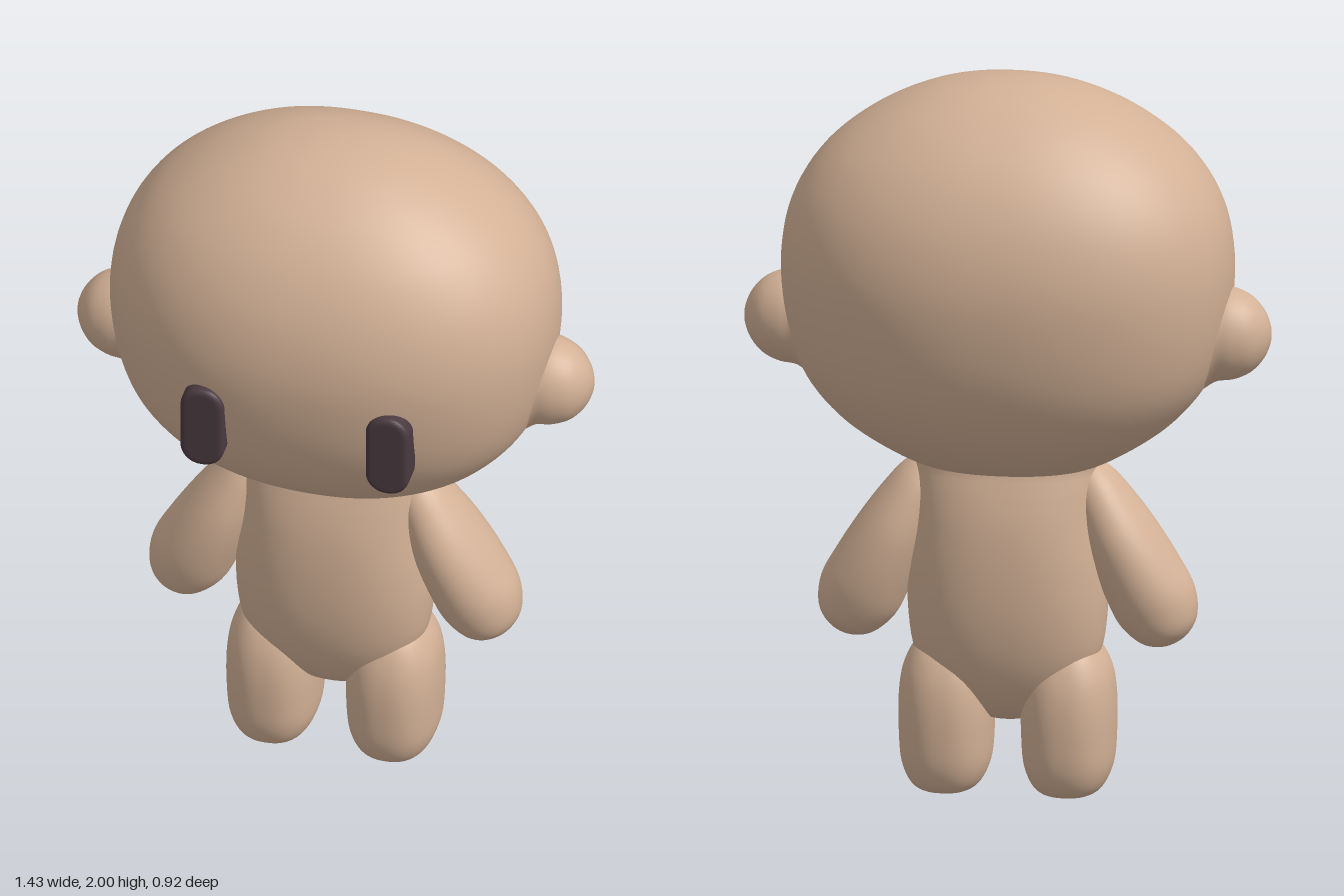
import * as THREE from 'three';
import { mergeVertices } from 'three/addons/utils/BufferGeometryUtils.js';

// Smooth loft through [y, radiusX, radiusZ] sections, bottom to top; n squares off the outline.
function loft(sections, n = 2, rings = 48, sides = 64) {
  const curve = new THREE.CatmullRomCurve3(sections.map(([y, rx, rz]) => new THREE.Vector3(rx, y, rz)));
  const round = (v) => Math.sign(v) * Math.pow(Math.abs(v), 2 / n);
  const positions = [], index = [];
  for (let i = 0; i <= rings; i++) {
    const p = curve.getPointAt(i / rings);
    for (let j = 0; j < sides; j++) {
      const a = (j / sides) * Math.PI * 2;
      positions.push(p.x * round(Math.cos(a)), p.y, p.z * round(Math.sin(a)));
      if (i === rings) continue;
      const k = (j + 1) % sides, r = i * sides, s = r + sides;
      index.push(r + j, s + j, s + k, r + j, s + k, r + k);
    }
  }
  let geometry = new THREE.BufferGeometry();
  geometry.setAttribute('position', new THREE.Float32BufferAttribute(positions, 3));
  geometry.setIndex(index);
  geometry = mergeVertices(geometry, 1e-5);
  geometry.computeVertexNormals();
  return geometry;
}

export function createModel() {
  const model = new THREE.Group();
  const skin = new THREE.MeshStandardMaterial({ color: 0xd3b196 });
  skin.name = 'skin';
  const dark = new THREE.MeshStandardMaterial({ color: 0x4a3a40 });
  dark.name = 'dark eye';

  const add = (name, geometry, material, x = 0, y = 0, z = 0, tilt = 0) => {
    const mesh = new THREE.Mesh(geometry, material);
    mesh.name = name;
    mesh.position.set(x, y, z);
    mesh.rotation.z = tilt;
    model.add(mesh);
  };

  // Big rounded head, wider than deep
  add('head', loft([
    [0.89, 0, 0], [0.894, 0.12, 0.08], [0.925, 0.24, 0.155], [0.98, 0.345, 0.24],
    [1.07, 0.465, 0.335], [1.18, 0.55, 0.4], [1.32, 0.595, 0.442], [1.5, 0.61, 0.46],
    [1.65, 0.582, 0.435], [1.78, 0.505, 0.375], [1.89, 0.375, 0.28], [1.965, 0.22, 0.165],
    [1.994, 0.09, 0.07], [2, 0, 0],
  ], 2.22, 72, 96), skin);

  // Torso, tapering to the crotch
  add('torso', loft([
    [0.2, 0, 0], [0.215, 0.07, 0.05], [0.28, 0.17, 0.115], [0.38, 0.245, 0.16],
    [0.5, 0.268, 0.185], [0.64, 0.268, 0.192], [0.78, 0.255, 0.182], [0.88, 0.252, 0.16],
    [0.93, 0.25, 0.145], [0.97, 0.26, 0.14], [0.98, 0, 0],
  ], 2.3), skin);

  const arm = loft([
    [0, 0, 0], [0.006, 0.04, 0.045], [0.04, 0.085, 0.095], [0.11, 0.113, 0.122],
    [0.2, 0.112, 0.135], [0.32, 0.1, 0.132], [0.42, 0.083, 0.11], [0.5, 0.062, 0.08],
    [0.55, 0.03, 0.04], [0.56, 0, 0],
  ]);
  const leg = loft([
    [0, 0, 0], [0.003, 0.05, 0.07], [0.025, 0.092, 0.122], [0.08, 0.118, 0.15],
    [0.18, 0.127, 0.161], [0.28, 0.126, 0.158], [0.35, 0.115, 0.142], [0.41, 0.085, 0.11],
    [0.45, 0.04, 0.05], [0.46, 0, 0],
  ], 2.4);
  // Round ear knob with a base flaring into the head
  const ear = loft([
    [0, 0.18, 0.17], [0.04, 0.15, 0.138], [0.07, 0.132, 0.117], [0.115, 0.125, 0.11],
    [0.16, 0.104, 0.093], [0.195, 0.066, 0.058], [0.212, 0.025, 0.022], [0.215, 0, 0],
  ], 2, 32, 40);

  // Upright pill-shaped eye with softened rim
  const w = 0.043, h = 0.108, r = 0.04;
  const outline = new THREE.Shape();
  outline.absarc(w - r, h - r, r, 0, Math.PI / 2);
  outline.absarc(r - w, h - r, r, Math.PI / 2, Math.PI);
  outline.absarc(r - w, r - h, r, Math.PI, Math.PI * 1.5);
  outline.absarc(w - r, r - h, r, Math.PI * 1.5, Math.PI * 2);
  const eye = new THREE.ExtrudeGeometry(outline, {
    depth: 0.06, bevelThickness: 0.014, bevelSize: 0.017, bevelSegments: 5, curveSegments: 10,
  });

  // Mirrored pairs
  for (const [side, s] of [['left', 1], ['right', -1]]) {
    add(side + 'Arm', arm, skin, s * 0.455, 0.435, 0, s * 0.47);
    add(side + 'Leg', leg, skin, s * 0.166, 0, 0);
    add(side + 'Ear', ear, skin, s * 0.5, 1.305, 0, -s * Math.PI / 2);
    add(side + 'Eye', eye, dark, s * 0.257, 1.305, 0.378);
  }
  return model;
}
